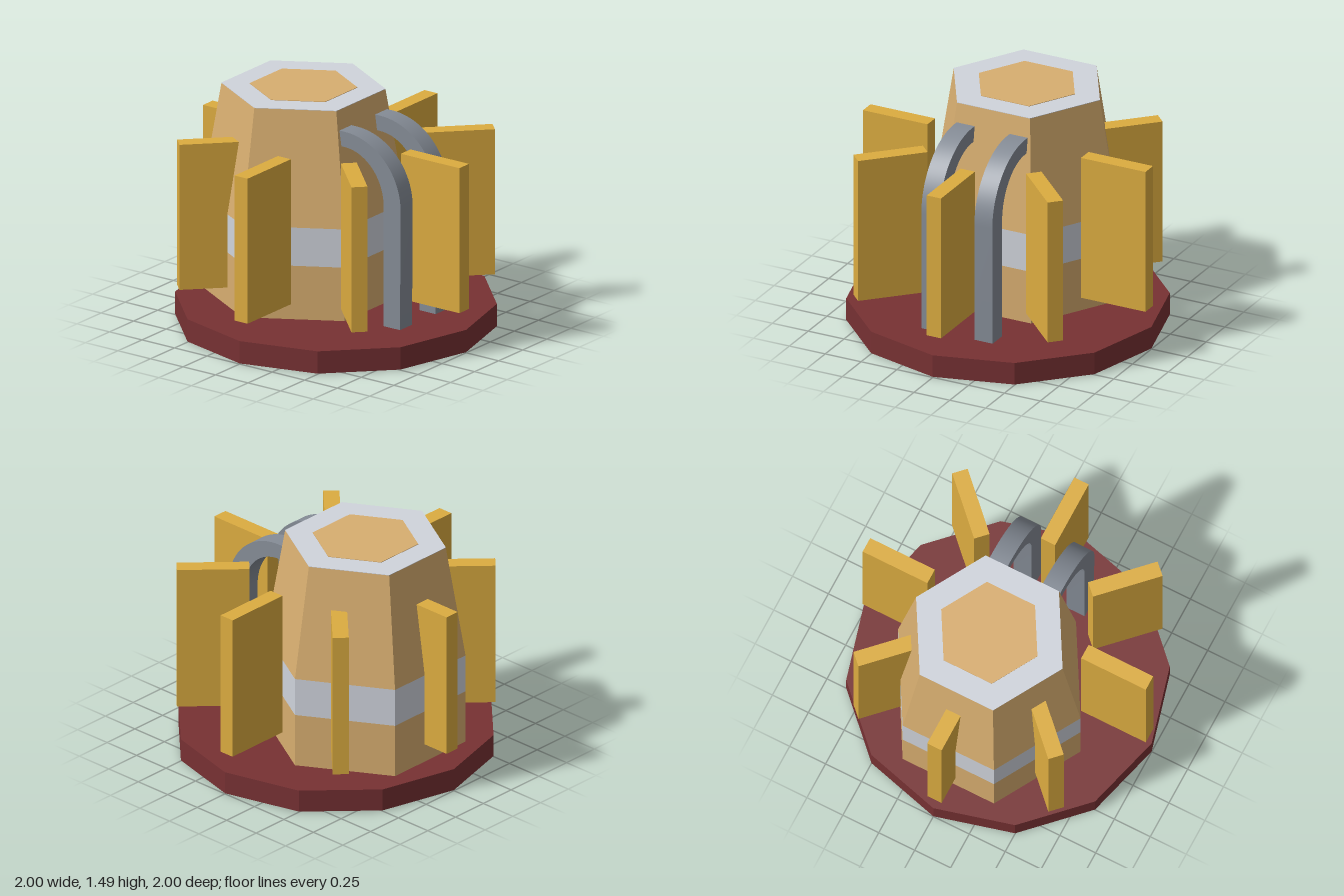
import * as THREE from 'three';
import { toCreasedNormals } from 'three/addons/utils/BufferGeometryUtils.js';

const mat = (name, color) => {
  const m = new THREE.MeshStandardMaterial({ color });
  m.name = name;
  return m;
};

export function createModel() {
  const root = new THREE.Group();
  const maroon = mat('maroon', 0x773133);
  const tan = mat('tan', 0xd8ae70);
  const lightGrey = mat('light grey', 0xd0d4dc);
  const pipeGrey = mat('pipe grey', 0x858c96);
  const gold = mat('gold', 0xdcac40);

  const add = (name, geometry, material, parent = root) => {
    const mesh = new THREE.Mesh(geometry, material);
    mesh.name = name;
    parent.add(mesh);
    return mesh;
  };

  // Faceted prism or frustum standing between two heights
  const prism = (rTop, rBottom, y0, y1, sides) =>
    toCreasedNormals(
      new THREE.CylinderGeometry(rTop, rBottom, y1 - y0, sides).translate(0, (y0 + y1) / 2, 0), 0.2);

  // Twelve-sided base slab, with the underside plate just below it
  add('base', prism(1, 1, 0.004, 0.15, 12), maroon);
  add('undersidePlate', new THREE.BoxGeometry(0.38, 0.02, 0.75).translate(0.61, 0.01, 0), lightGrey);

  // Six-sided tower: straight lower half, tapered upper half
  const tower = new THREE.Group();
  tower.name = 'tower';
  tower.position.x = -0.25;
  root.add(tower);
  add('towerFoot', prism(0.635, 0.635, 0.003, 0.5, 6), tan, tower);
  add('towerUnderside', prism(0.635, 0.635, 0, 0.003, 6), pipeGrey, tower);
  add('towerBand', prism(0.635, 0.635, 0.5, 0.75, 6), lightGrey, tower);
  add('towerTaper', prism(0.51, 0.635, 0.75, 1.484, 6), tan, tower);
  add('towerRim', prism(0.51, 0.51, 1.484, 1.487, 6), lightGrey, tower);
  add('towerCap', prism(0.335, 0.335, 1.487, 1.49, 6), tan, tower);

  // Eight upright fins around the rim
  for (let i = 0; i < 8; i++) {
    const fin = add('fin', new THREE.BoxGeometry(0.45, 0.95, 0.1).translate(0.76, 0.745, 0), gold);
    fin.rotation.y = (i * Math.PI) / 4;
  }

  // Two square pipes rising from the base and bending into the tower
  const side = new THREE.Shape();
  side.moveTo(0.55, 0.1);
  side.lineTo(0.675, 0.1);
  side.lineTo(0.68, 0.93);
  side.absellipse(0.25, 0.93, 0.43, 0.43, 0, Math.PI / 2, false);
  side.lineTo(0.12, 1.36);
  side.lineTo(0.12, 1.26);
  side.lineTo(0.25, 1.26);
  side.absellipse(0.25, 0.93, 0.3, 0.33, Math.PI / 2, 0, true);
  side.closePath();
  const pipe = toCreasedNormals(
    new THREE.ExtrudeGeometry(side, { depth: 0.125, bevelEnabled: false, curveSegments: 10 }), 0.6);
  for (const z of [-0.185, 0.185]) {
    add('pipe', pipe, pipeGrey).position.z = z - 0.0625;
  }

  return root;
}
